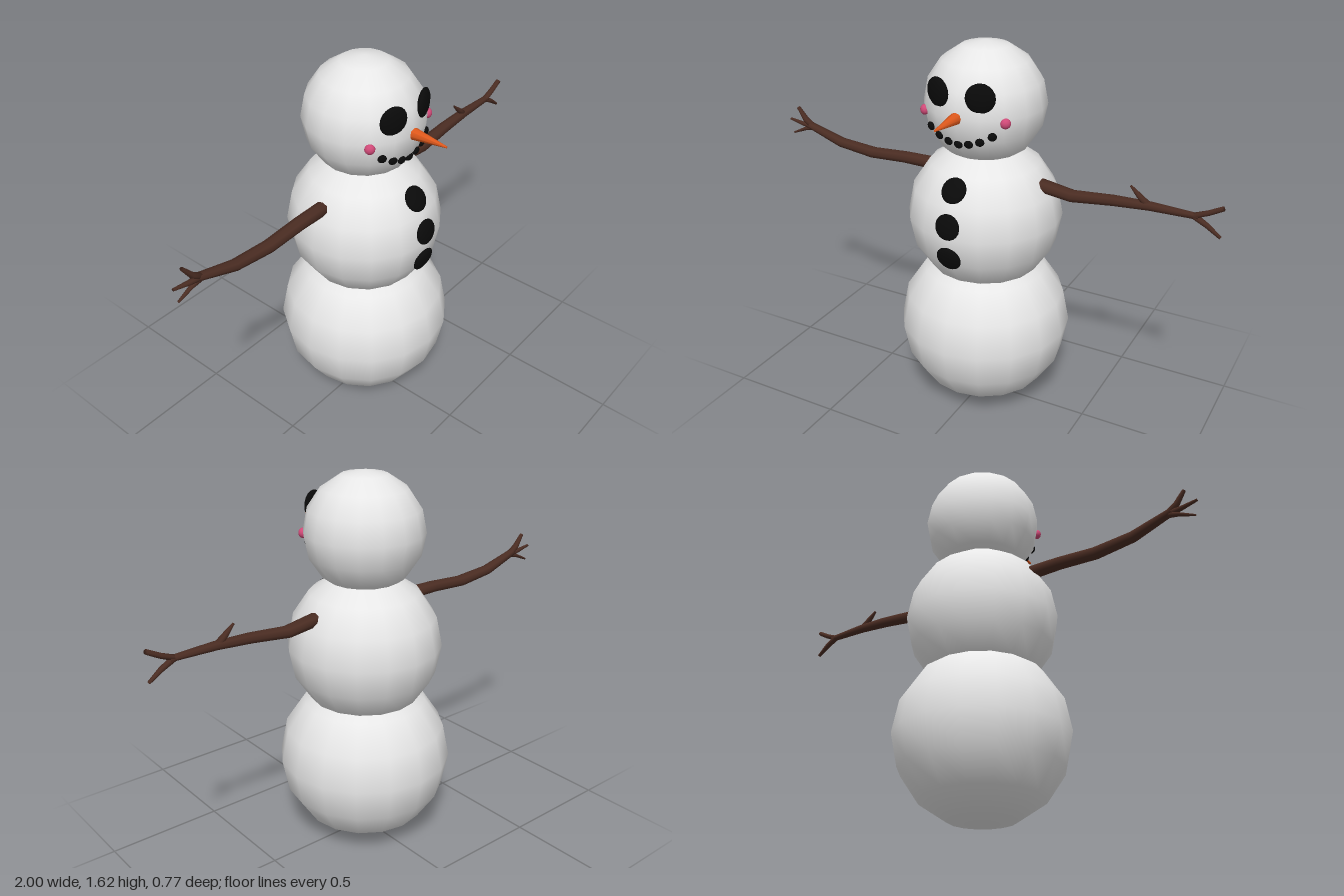
import * as THREE from 'three';

const paint = (name, color) => {
  const m = new THREE.MeshStandardMaterial({ color });
  m.name = name;
  return m;
};

const CX = 0.01, CZ = -0.01;
const BODY = { y: 0.89, r: 0.325 };
const HEAD = { y: 1.37, r: 0.25 };

// Tapered branch lofted through [x, y, radius] points lying in one vertical plane
function branchGeometry(points, sides = 8) {
  const pos = [], idx = [];
  points.forEach(([x, y, r], i) => {
    const a = points[Math.max(i - 1, 0)], b = points[Math.min(i + 1, points.length - 1)];
    const dir = new THREE.Vector2(b[0] - a[0], b[1] - a[1]).normalize();
    for (let s = 0; s < sides; s++) {
      const t = (s / sides) * Math.PI * 2, u = Math.cos(t) * r;
      pos.push(x - dir.y * u, y + dir.x * u, CZ + Math.sin(t) * r * 1.25);
    }
  });
  for (let i = 0; i < points.length - 1; i++) {
    for (let s = 0; s < sides; s++) {
      const a = i * sides + s, b = i * sides + (s + 1) % sides;
      idx.push(a, a + sides, b, b, a + sides, b + sides);
    }
  }
  // End caps
  const last = (points.length - 1) * sides;
  for (let s = 1; s < sides - 1; s++) {
    idx.push(0, s, s + 1, last, last + s + 1, last + s);
  }
  // Corner order follows the loop direction, so flip each face outward
  for (let i = 0; i < idx.length; i += 3) [idx[i + 1], idx[i + 2]] = [idx[i + 2], idx[i + 1]];
  const g = new THREE.BufferGeometry();
  g.setAttribute('position', new THREE.Float32BufferAttribute(pos, 3));
  g.setIndex(idx);
  g.computeVertexNormals();
  return g;
}

export function createModel() {
  const group = new THREE.Group();
  group.name = 'snowman';
  const snow = paint('snow', 0xe7e7e7);
  const coal = paint('coal', 0x0a0a0a);
  const wood = paint('wood', 0x4a2c22);
  wood.side = THREE.DoubleSide;
  const carrot = paint('carrot', 0xe0591c);
  const blush = paint('blush', 0xd04a78);

  const add = (name, geometry, material, parent = group) => {
    const mesh = new THREE.Mesh(geometry, material);
    mesh.name = name;
    parent.add(mesh);
    return mesh;
  };

  // Three snowballs
  for (const [name, y, r] of [['baseBall', 0.375, 0.37], ['middleBall', BODY.y, BODY.r], ['head', HEAD.y, HEAD.r]]) {
    add(name, new THREE.SphereGeometry(r, 16, 8), snow).position.set(CX, y, CZ);
  }

  // Flattened pebble pressed onto the front of a snowball
  const pebble = (name, ball, x, y, r, depth, material) => {
    const dx = x - CX, dy = y - ball.y;
    const dz = Math.sqrt(ball.r ** 2 - dx * dx - dy * dy);
    const mesh = add(name, new THREE.SphereGeometry(r, 16, 10), material);
    mesh.position.set(x, y, CZ + dz);
    mesh.lookAt(x + dx, y + dy, CZ + 2 * dz);
    mesh.scale.z = depth / r;
    return mesh;
  };

  for (const y of [1.08, 0.945, 0.803]) pebble('button', BODY, CX, y, 0.054, 0.018, coal);

  // Face
  for (const s of [-1, 1]) {
    const side = s > 0 ? 'left' : 'right';
    const eye = pebble(side + 'Eye', HEAD, CX + s * 0.092, 1.455, 0.059, 0.02, coal);
    eye.rotation.set(0, s * 0.36, 0);
    pebble(side + 'Cheek', HEAD, CX + s * 0.178, 1.358, 0.021, 0.018, blush);
  }
  for (const [dx, y] of [[0, 1.26], [0.044, 1.266], [0.089, 1.28], [0.135, 1.305]]) {
    for (const s of dx ? [-1, 1] : [1]) pebble('mouthPebble', HEAD, CX + s * dx, y, 0.018, 0.012, coal);
  }

  const nose = add('nose', new THREE.CylinderGeometry(0.004, 0.029, 0.185, 8), carrot);
  nose.rotation.x = Math.PI / 2;
  nose.position.set(CX, 1.37, 0.293);

  // Stick arms with forked ends
  const arms = {
    rightArm: [
      [[-0.21, 1.055, 0.027], [-0.38, 1.055, 0.025], [-0.55, 1.045, 0.024], [-0.72, 1.062, 0.021], [-0.89, 1.115, 0.015]],
      [[-0.87, 1.108, 0.013], [-0.912, 1.138, 0.012], [-0.95, 1.19, 0.007]],
      [[-0.87, 1.108, 0.013], [-0.93, 1.115, 0.009], [-0.998, 1.128, 0.005]],
      [[-0.87, 1.108, 0.013], [-0.92, 1.092, 0.008], [-0.985, 1.064, 0.004]],
    ],
    leftArm: [
      [[0.23, 1.06, 0.028], [0.4, 1.036, 0.025], [0.57, 1.054, 0.022], [0.72, 1.062, 0.018], [0.91, 1.06, 0.012]],
      [[0.89, 1.06, 0.012], [0.945, 1.083, 0.011], [0.998, 1.112, 0.01]],
      [[0.89, 1.06, 0.012], [0.945, 1.03, 0.01], [0.998, 0.992, 0.006]],
      [[0.71, 1.065, 0.014], [0.675, 1.095, 0.011], [0.638, 1.13, 0.004]],
    ],
  };
  for (const [name, branches] of Object.entries(arms)) {
    const arm = new THREE.Group();
    arm.name = name;
    group.add(arm);
    branches.forEach((p, i) => add(i ? 'twig' : 'stick', branchGeometry(p), wood, arm));
  }
  return group;
}
